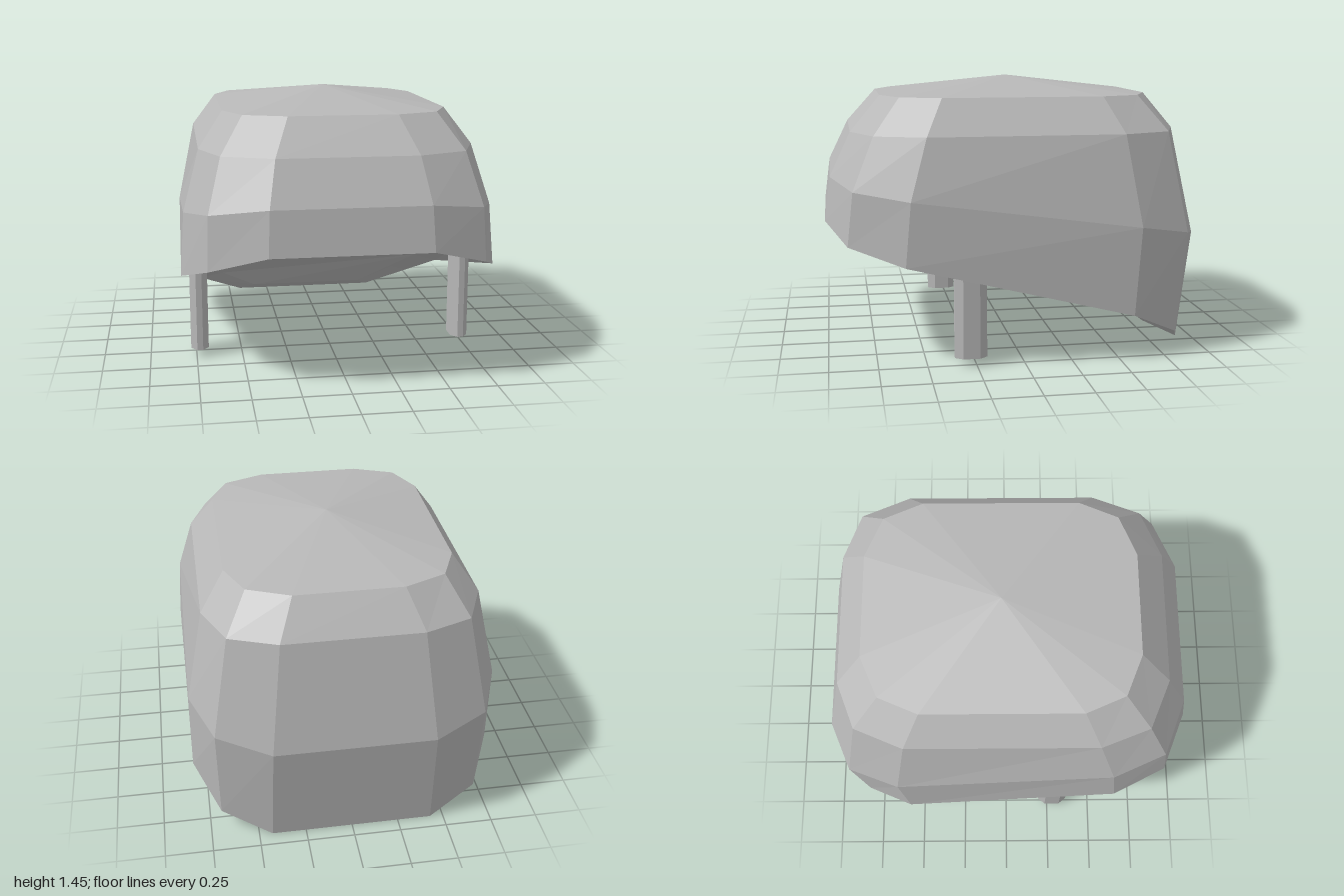
import * as THREE from 'three';

// Right half of each ring, front to back: [x, y, z]
const rim = [[0.41, 0.71, 1], [0.7, 0.625, 0.89], [0.825, 0.535, 0.61],
  [0.82, 0.24, -0.565], [0.69, 0.11, -0.825], [0.43, 0, -0.92]];
const belly = [[0.4, 0.94, 0.97], [0.69, 0.9, 0.86], [0.805, 0.86, 0.58],
  [0.815, 0.7, -0.6], [0.7, 0.645, -0.88], [0.42, 0.59, -1]];
const shoulder = [[0.36, 1.17, 0.86], [0.62, 1.17, 0.75], [0.72, 1.17, 0.49],
  [0.72, 1.17, -0.53], [0.61, 1.17, -0.79], [0.36, 1.17, -0.885]];
const crown = [[0.28, 1.355, 0.7], [0.5, 1.355, 0.61], [0.59, 1.355, 0.4],
  [0.59, 1.355, -0.44], [0.5, 1.355, -0.65], [0.28, 1.355, -0.745]];
const inner = rim.map(([x, y, z]) => [x * 0.8, y + 0.07, z * 0.82]);

// Completes a half ring by mirroring it across x = 0
const mirror = half => [...half, ...[...half].reverse().map(([x, y, z]) => [-x, y, z])];

function shellGeometry() {
  const rings = [inner, rim, belly, shoulder, crown].map(mirror);
  const n = rings[0].length, tris = [];
  // Walls between successive rings
  for (let r = 0; r < rings.length - 1; r++) {
    for (let i = 0; i < n; i++) {
      const j = (i + 1) % n, a = rings[r], b = rings[r + 1];
      tris.push(a[i], a[j], b[j], a[i], b[j], b[i]);
    }
  }
  // Low pointed top
  const top = rings[4];
  for (let i = 0; i < n; i++) tris.push(top[i], top[(i + 1) % n], [0, 1.445, -0.02]);
  // Recessed underside, fanned from one side corner
  const base = rings[0];
  for (let k = 1; k < n - 1; k++) tris.push(base[3], base[(4 + k) % n], base[(3 + k) % n]);

  const geo = new THREE.BufferGeometry();
  geo.setAttribute('position', new THREE.Float32BufferAttribute(tris.flat(), 3));
  geo.computeVertexNormals();
  return geo;
}

// Upright post with a chamfered section
function postGeometry() {
  const quarter = [[0.0475, 0.043], [0.016, 0.083]];
  const [[a, b], [c, d]] = quarter;
  const shape = new THREE.Shape([[a, -b], [a, b], [c, d], [-c, d], [-a, b], [-a, -b], [-c, -d], [c, -d]]
    .map(p => new THREE.Vector2(...p)));
  const geo = new THREE.ExtrudeGeometry(shape, { depth: 0.56, bevelEnabled: false });
  geo.rotateX(-Math.PI / 2);
  return geo;
}

export function createModel() {
  const group = new THREE.Group();
  const grey = new THREE.MeshStandardMaterial({ color: 0xb8b8b8, flatShading: true });
  grey.name = 'grey';

  const shell = new THREE.Mesh(shellGeometry(), grey);
  shell.name = 'shell';
  group.add(shell);

  const post = postGeometry();
  for (const side of [1, -1]) {
    const mesh = new THREE.Mesh(post, grey);
    mesh.name = side > 0 ? 'leftPost' : 'rightPost';
    mesh.position.set(side * 0.732, 0.04, 0.278);
    group.add(mesh);
  }
  return group;
}
